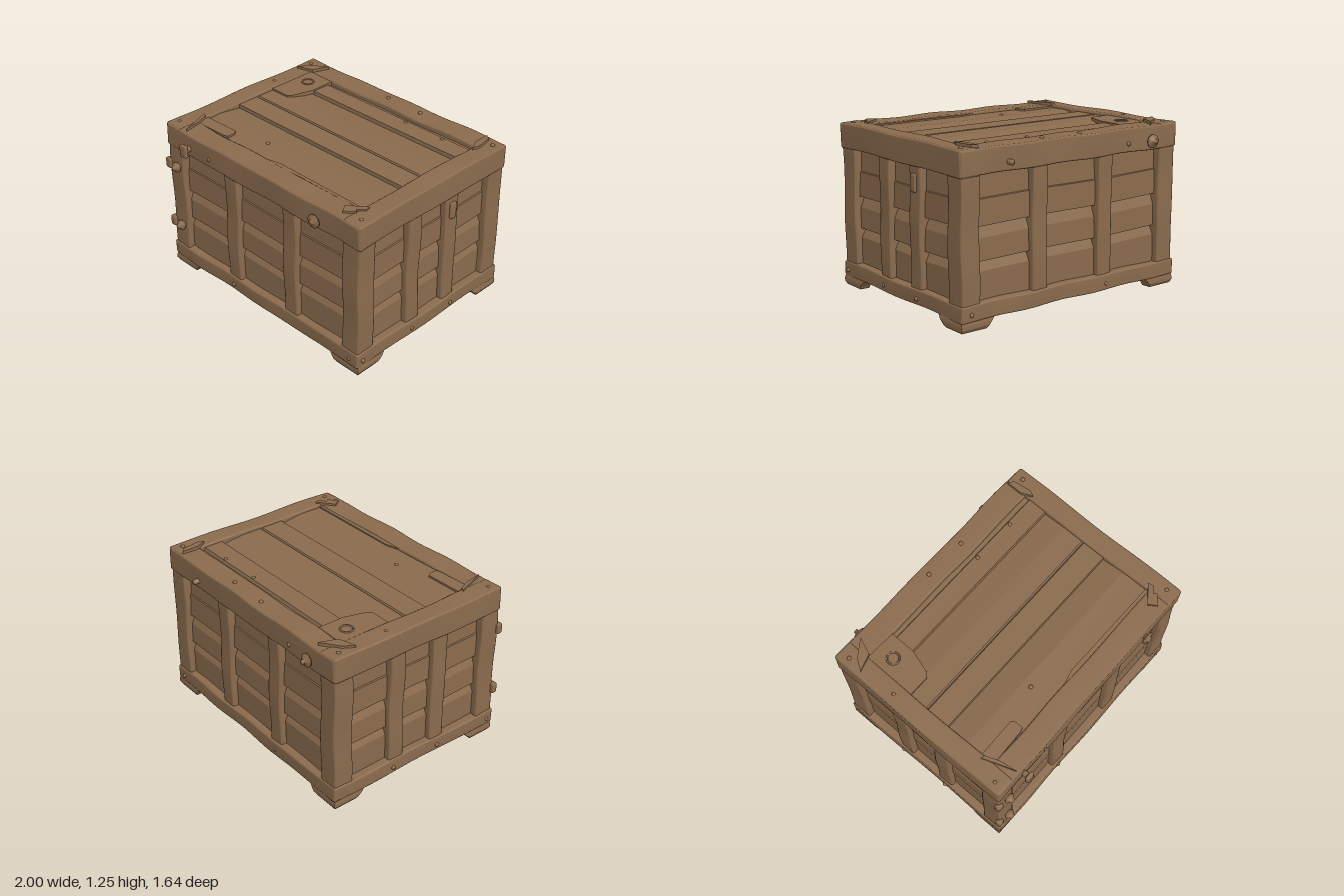
import * as THREE from 'three';
import { mergeVertices } from 'three/addons/utils/BufferGeometryUtils.js';

const wood = new THREE.MeshStandardMaterial({ color: 0x8a6b4d });
wood.name = 'weathered wood';

function add(parent, geo, name) {
  const mesh = new THREE.Mesh(geo, wood);
  mesh.name = name;
  parent.add(mesh);
  return mesh;
}

// Hand-hewn timber between two corners: worn edges and a slightly wavy surface
function beam(parent, name, [x0, x1], [y0, y1], [z0, z1], r = 0.014, wave = 0.004) {
  const size = [x1 - x0, y1 - y0, z1 - z0];
  const mid = [(x0 + x1) / 2, (y0 + y1) / 2, (z0 + z1) / 2];
  const seg = size.map(s => Math.max(3, Math.round(s / 0.09)));
  let geo = new THREE.BoxGeometry(...size, ...seg);
  geo.deleteAttribute('uv');
  geo.deleteAttribute('normal');
  geo = mergeVertices(geo);
  const pos = geo.attributes.position;
  for (let i = 0; i < pos.count; i++) {
    const p = [pos.getX(i), pos.getY(i), pos.getZ(i)];
    const off = [0, 0, 0];
    p.forEach((v, a) => {
      const h = size[a] / 2, step = size[a] / seg[a];
      if (Math.abs(v) > h - 1e-4) { off[a] = Math.sign(v); p[a] = Math.sign(v) * (h - r); }
      else if (Math.abs(v) > h - step - 1e-4) p[a] = Math.sign(v) * (h - r);
    });
    const len = Math.hypot(...off) || 1;
    const q = p.map((v, a) => v + off[a] / len * r + mid[a]);
    pos.setXYZ(i,
      q[0] + wave * Math.sin(9 * q[1] + 5 * q[2]),
      q[1] + wave * Math.sin(11 * q[0] + 8 * q[2]),
      q[2] + wave * Math.sin(8 * q[0] + 10 * q[1]));
  }
  geo.computeVertexNormals();
  return add(parent, geo, name);
}

// Profile in (z, y) carried along x
function planks(parent, name, profile, x0, x1) {
  const shape = new THREE.Shape(profile.map(p => new THREE.Vector2(...p)));
  const geo = new THREE.ExtrudeGeometry(shape, { depth: x1 - x0, bevelEnabled: false });
  geo.rotateY(-Math.PI / 2);
  geo.translate(x1, 0, 0);
  return add(parent, geo, name);
}

// Turned part pointing along +z; profile in (radius, distance)
function turned(parent, name, profile, x, y, z, back = false) {
  const geo = new THREE.LatheGeometry(profile.map(p => new THREE.Vector2(...p)), 14);
  geo.rotateX(Math.PI / 2);
  const mesh = add(parent, geo, name);
  mesh.position.set(x, y, z);
  if (back) mesh.rotation.y = Math.PI;
  return mesh;
}

// Overlapping siding: each plank leans back at its top, under the next one's lip
const siding = [[-0.14, 0.12], [-0.05, 0.12], [-0.05, 0.39], [-0.085, 0.46], [-0.045, 0.462],
  [-0.05, 0.62], [-0.085, 0.70], [-0.045, 0.702], [-0.05, 0.885], [-0.058, 0.89], [-0.065, 1.12], [-0.14, 1.12]];

// One wall: siding in bays with upright stiles, outer face at z = 0
function wall(parent, name, half, stiles, turn, x, z) {
  const g = new THREE.Group();
  g.name = name;
  const edges = [-half, ...stiles, half];
  for (let i = 0; i < edges.length - 1; i++) {
    const a = edges[i], b = edges[i + 1], m = (a + b) / 2;
    const bay = planks(g, 'sidingPlanks', siding, a - m, b - m);
    bay.position.set(m, 0, 0);
    const tilt = 0.012 * [1, -1, 2][i];
    bay.geometry.translate(0, -0.6, 0);
    bay.position.y = 0.6;
    bay.rotation.z = tilt;
  }
  stiles.forEach(s => beam(g, 'stile', [s - 0.065, s + 0.065], [0.15, 1.1], [-0.1, -0.004]));
  g.rotation.y = turn;
  g.position.set(x, 0, z);
  parent.add(g);
}

// Foot: wide block at a corner, flaring up into the bottom rails
function foot(parent, sx, sz) {
  const rings = [[0, 0.22, 0.2, 0.015], [0.025, 0.235, 0.215, 0], [0.05, 0.255, 0.245, 0], [0.1, 0.3, 0.29, 0.01]];
  const verts = [], index = [];
  for (const [y, lx, lz, inset] of rings) {
    const outline = [[inset, inset], [lx, inset], [lx, 0.09], [0.11, lz * 0.6], [0.09, lz], [inset, lz]];
    outline.forEach(([u, v]) => verts.push(sx * (0.985 - u), y, sz * (0.75 - v)));
  }
  const n = 6, flip = sx * sz < 0;
  const tri = (a, b, c) => flip ? index.push(a, c, b) : index.push(a, b, c);
  for (let k = 0; k < rings.length - 1; k++) for (let i = 0; i < n; i++) {
    const a = k * n + i, b = k * n + (i + 1) % n;
    tri(a, a + n, b);
    tri(b, a + n, b + n);
  }
  for (let i = 1; i < n - 1; i++) tri(0, i, i + 1);
  let geo = new THREE.BufferGeometry();
  geo.setAttribute('position', new THREE.Float32BufferAttribute(verts, 3));
  geo.setIndex(index);
  geo = geo.toNonIndexed();
  geo.computeVertexNormals();
  add(parent, geo, 'foot');
}

// Thin splinter of wood lying on a lid corner
function splinter(parent, points, y) {
  const shape = new THREE.Shape(points.map(([x, z]) => new THREE.Vector2(x, -z)));
  const geo = new THREE.ExtrudeGeometry(shape, { depth: 0.03, bevelEnabled: false });
  geo.rotateX(-Math.PI / 2);
  add(parent, geo, 'splinter').position.y = y;
}

export function createModel() {
  const crate = new THREE.Group();
  crate.name = 'woodenCrate';

  // Walls
  const long = [-0.295, 0.305], short = [-0.19, 0.195];
  wall(crate, 'frontWall', 0.86, long, 0, 0, 0.745);
  wall(crate, 'backWall', 0.86, long.map(v => -v).reverse(), Math.PI, 0, -0.745);
  wall(crate, 'leftWall', 0.63, short, Math.PI / 2, 0.975, 0);
  wall(crate, 'rightWall', 0.63, short, -Math.PI / 2, -0.975, 0);

  // Posts, feet and rails
  for (const s of [-1, 1]) {
    const span = (a, b) => s > 0 ? [a, b] : [-b, -a];
    for (const t of [-1, 1]) {
      beam(crate, 'cornerPost', span(0.82, 0.975), [0.1, 1.12], t > 0 ? [0.585, 0.745] : [-0.745, -0.585]);
      foot(crate, s, t);
    }
    beam(crate, 'longBottomRail', [-0.985, 0.985], [0.07, 0.19], span(0.63, 0.755));
    beam(crate, 'shortBottomRail', span(0.86, 0.985), [0.072, 0.188], [-0.75, 0.75]);
    beam(crate, 'longLidRail', [-0.98, 0.98], [1.055, 1.233], span(0.575, 0.755));
    beam(crate, 'shortLidRail', span(0.83, 0.985), [1.05, 1.238], [-0.75, 0.75]);
  }
  beam(crate, 'floor', [-0.9, 0.9], [0.15, 0.18], [-0.68, 0.68], 0.005, 0);

  // Lid planks
  planks(crate, 'lidPlanks', [[0.62, 1.15], [0.62, 1.213], [0.35, 1.217], [0.172, 1.19], [0.17, 1.219],
    [-0.01, 1.217], [-0.02, 1.205], [-0.03, 1.217], [-0.19, 1.215], [-0.376, 1.19], [-0.38, 1.219],
    [-0.53, 1.217], [-0.54, 1.195], [-0.62, 1.195], [-0.62, 1.15]], -0.88, 0.88);
  splinter(crate, [[-0.84, -0.58], [-0.59, -0.57], [-0.59, -0.37], [-0.64, -0.2], [-0.67, -0.17], [-0.84, -0.17]], 1.2);
  splinter(crate, [[-0.84, 0.475], [-0.53, 0.47], [-0.51, 0.5], [-0.51, 0.56], [-0.54, 0.57], [-0.84, 0.58]], 1.2);
  splinter(crate, [[-0.12, 0.58], [0.02, 0.545], [0.83, 0.55], [0.83, 0.58]], 1.195);
  const knot = add(crate, new THREE.TorusGeometry(0.045, 0.007, 6, 18), 'knotRing');
  knot.rotation.x = Math.PI / 2;
  knot.position.set(-0.72, 1.23, -0.44);

  // Split corners of the lid
  splinter(crate, [[-0.94, -0.54], [-0.89, -0.62], [-0.76, -0.71], [-0.81, -0.58]], 1.223);
  splinter(crate, [[-0.86, 0.49], [-0.83, 0.5], [-0.79, 0.6], [-0.77, 0.73], [-0.81, 0.62]], 1.223);
  splinter(crate, [[0.82, -0.73], [0.86, -0.7], [0.88, -0.56], [0.86, -0.52], [0.82, -0.6]], 1.225);
  splinter(crate, [[0.74, 0.64], [0.87, 0.54], [0.88, 0.58], [0.83, 0.62], [0.85, 0.64], [0.78, 0.7]], 1.222);

  // Bolts through the lid rails
  const washer = [[0.022, 0], [0.022, 0.02], [0.05, 0.022], [0.05, 0.036], [0.02, 0.042], [0.02, 0.055], [0, 0.058]];
  const longBolt = [[0.025, 0], [0.025, 0.018], [0.05, 0.022], [0.05, 0.036], [0.016, 0.045], [0.016, 0.068], [0, 0.072]];
  turned(crate, 'frontLidBolt', washer, 0.59, 1.12, 0.748);
  turned(crate, 'backLidBolt', longBolt, -0.72, 1.12, -0.748, true);
  turned(crate, 'backLidPeg', [[0.02, 0], [0.02, 0.045], [0, 0.05]], 0.59, 1.12, -0.75, true);
  turned(crate, 'latchStem', [[0.022, 0], [0.022, 0.05]], -0.72, 1.12, 0.748);
  beam(crate, 'latchHead', [-0.755, -0.685], [1.07, 1.17], [0.788, 0.82], 0.012, 0);

  // Bolts and clips on the front right post
  const postBolt = [[0.032, 0], [0.032, 0.012], [0.04, 0.018], [0.038, 0.034], [0.02, 0.044], [0.018, 0.058], [0, 0.062]];
  for (const y of [0.385, 0.9]) {
    turned(crate, 'postBolt', postBolt, -0.88, y, 0.74);
    beam(crate, 'postClip', [-1, -0.945], [y - 0.04, y + 0.04], [0.725, 0.77], 0.01, 0);
  }

  // Raised chip on a left wall stile
  beam(crate, 'stileChip', [0.96, 0.988], [0.87, 1.0], [-0.225, -0.165], 0.012, 0);

  // Nail heads
  const nail = (x, y, z) => add(crate, new THREE.SphereGeometry(0.017, 10, 8), 'nailHead').position.set(x, y, z);
  for (const s of [-1, 1]) {
    for (const [x, y] of [[-0.3, 0.12], [0.9, 0.12], [-0.5, 1.12]]) nail(x, y, s * 0.75);
    for (const [z, y] of [[0.2, 0.12], [-0.22, 0.12], [0.7, 0.12]]) nail(s * 0.983, y, z);
    for (const z of [-0.67, 0.67]) nail(s * 0.92, 1.232, z);
  }
  for (const [x, z] of [[-0.09, -0.68], [0.24, -0.67], [-0.91, -0.26]]) nail(x, 1.23, z);
  for (const [x, z] of [[0.24, -0.51], [0.59, -0.51], [-0.25, 0.41]]) nail(x, 1.21, z);

  return crate;
}
